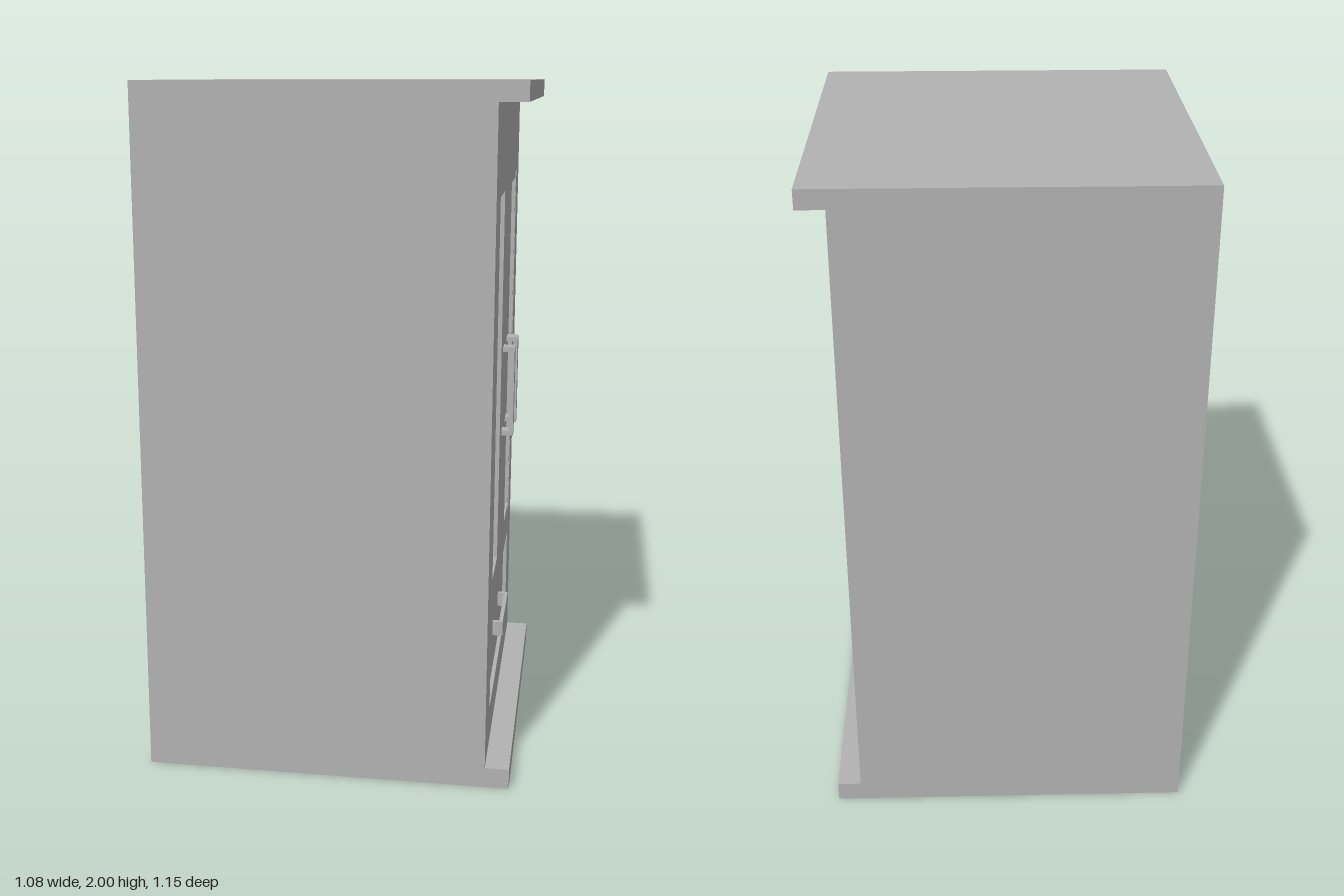
import * as THREE from 'three';

const BACK = -0.54, FACE = 0.46, HALF = 0.573;

export function createModel() {
  const group = new THREE.Group();
  const grey = new THREE.MeshStandardMaterial({ color: 0xb2b2b2 });
  grey.name = 'plain grey';

  // Box given by its limits on each axis
  const box = (name, x0, x1, y0, y1, z0, z1, parent = group) => {
    const mesh = new THREE.Mesh(new THREE.BoxGeometry(x1 - x0, y1 - y0, z1 - z0), grey);
    mesh.position.set((x0 + x1) / 2, (y0 + y1) / 2, (z0 + z1) / 2);
    mesh.name = name;
    parent.add(mesh);
  };

  // Rectangle in the plane of the door face (u = -z, v = y)
  const rect = (Type, z0, z1, y0, y1) => new Type([
    new THREE.Vector2(-z1, y0), new THREE.Vector2(-z0, y0),
    new THREE.Vector2(-z0, y1), new THREE.Vector2(-z1, y1),
  ]);

  // Carcass, plinth and cornice
  const depth = 0.03;
  box('carcass', BACK, FACE - depth, 0.06, 1.945, -HALF, HALF);
  box('plinth', BACK, 0.53, 0, 0.06, -HALF, HALF);
  box('cornice', BACK, 0.54, 1.945, 2, -HALF, HALF);

  // Door face with two recessed panels and a drawer opening
  const face = rect(THREE.Shape, -HALF, HALF, 0.06, 1.945);
  face.holes.push(
    rect(THREE.Path, 0.185, 0.395, 0.57, 1.685),
    rect(THREE.Path, -0.39, -0.175, 0.57, 1.685),
    rect(THREE.Path, -0.393, 0.402, 0.17, 0.465),
  );
  const front = new THREE.Mesh(
    new THREE.ExtrudeGeometry(face, { depth, bevelEnabled: false }), grey);
  front.rotation.y = Math.PI / 2;
  front.position.x = FACE - depth;
  front.name = 'doorFace';
  group.add(front);

  // Drawer front, set slightly back in its opening
  box('drawerFront', FACE - depth, FACE - 0.012, 0.17, 0.465, -0.393, 0.402);

  // Narrow strip beside the right-hand panel
  box('doorEdgeStrip', FACE, FACE + 0.002, 0.545, 1.71, -0.402, -0.398);

  // Upright door handles: a bar on two posts
  for (const z of [0.08, -0.1]) {
    const handle = new THREE.Group();
    handle.name = 'doorHandle';
    const z0 = z - 0.025, z1 = z + 0.025;
    box('bar', 0.482, 0.495, 0.935, 1.21, z0, z1, handle);
    box('lowerPost', FACE, 0.482, 0.935, 0.95, z0, z1, handle);
    box('upperPost', FACE, 0.482, 1.195, 1.21, z0, z1, handle);
    group.add(handle);
  }

  // Level drawer handle
  const pull = new THREE.Group();
  pull.name = 'drawerHandle';
  box('bar', 0.468, 0.48, 0.295, 0.34, -0.135, 0.14, pull);
  box('leftPost', FACE - 0.012, 0.468, 0.295, 0.34, 0.125, 0.14, pull);
  box('rightPost', FACE - 0.012, 0.468, 0.295, 0.34, -0.135, -0.12, pull);
  group.add(pull);

  return group;
}
